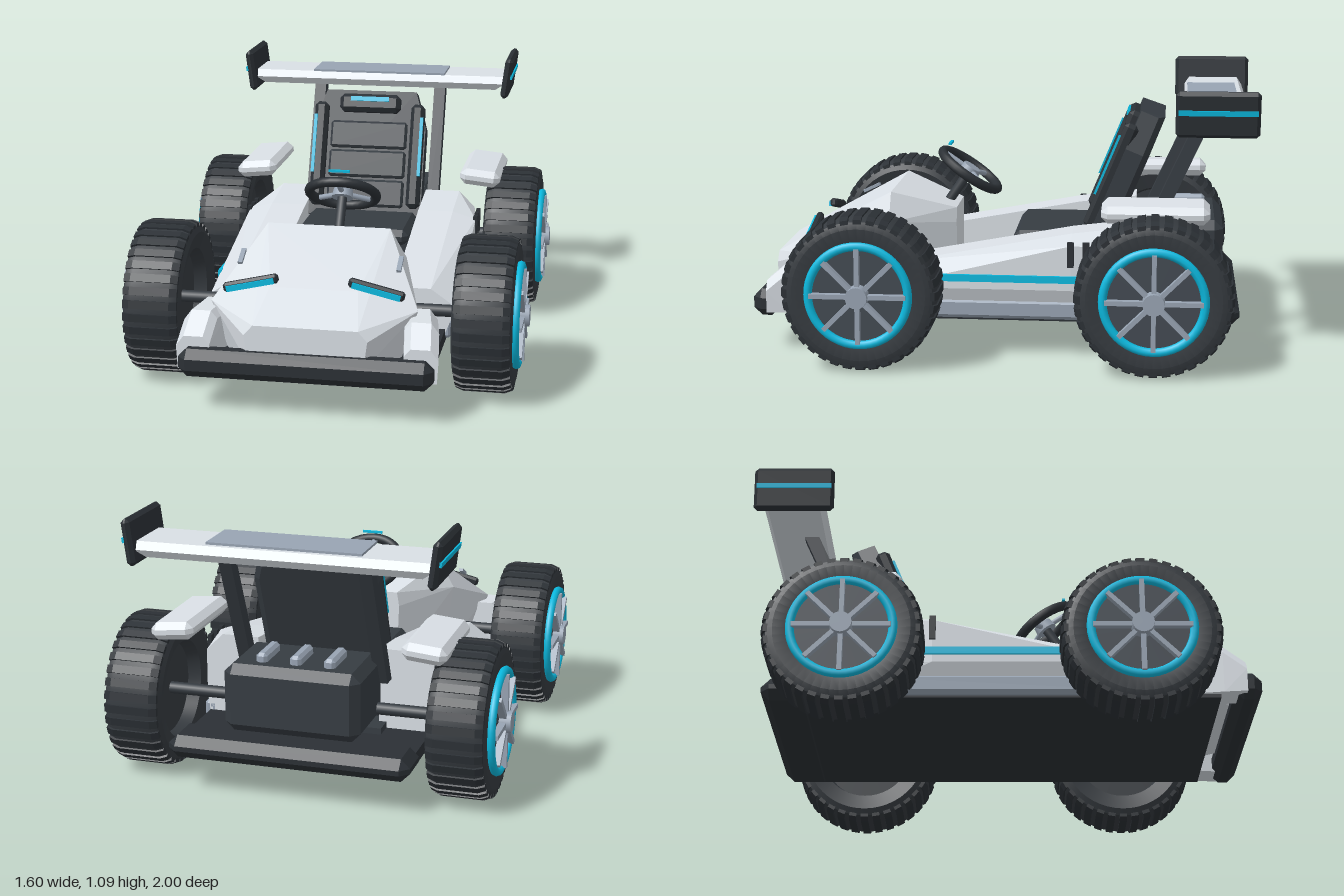
import * as THREE from 'three';
import { toCreasedNormals } from 'three/addons/utils/BufferGeometryUtils.js';
import { ConvexGeometry } from 'three/addons/geometries/ConvexGeometry.js';

const paint = (name, color) => {
  const m = new THREE.MeshStandardMaterial({ color });
  m.name = name;
  return m;
};

export function createModel() {
  const root = new THREE.Group();
  root.name = 'openKart';
  const light = paint('lightGrey', 0xd9dfe5);
  const dark = paint('charcoal', 0x363c42);
  const rubber = paint('rubber', 0x353a3f);
  const rimGrey = paint('rimGrey', 0x434a52);
  const steel = paint('steel', 0x98a4b3);
  const cyan = paint('cyan', 0x0abae0);
  const black = paint('nearBlack', 0x2b3035);

  const add = (name, geo, mat, pos = [0, 0, 0], rot = [0, 0, 0], parent = root) => {
    const m = new THREE.Mesh(geo, mat);
    m.name = name;
    m.position.set(...pos);
    m.rotation.set(...rot);
    parent.add(m);
    return m;
  };
  const hull = (pts) => new ConvexGeometry(pts.map((p) => new THREE.Vector3(...p)));
  const box = (w, h, d) => new THREE.BoxGeometry(w, h, d);
  // Box with every edge and corner cut by c
  const cut = (w, h, d, c = 0.02) => {
    const pts = [];
    for (const x of [-1, 1]) for (const y of [-1, 1]) for (const z of [-1, 1]) {
      const [a, b, e] = [w / 2, h / 2, d / 2];
      pts.push([x * a, y * (b - c), z * (e - c)], [x * (a - c), y * b, z * (e - c)], [x * (a - c), y * (b - c), z * e]);
    }
    return hull(pts);
  };
  // Round bar between two points
  const bar = (name, a, b, r, mat, parent = root) => {
    const p = new THREE.Vector3(...a), q = new THREE.Vector3(...b);
    const m = add(name, new THREE.CylinderGeometry(r, r, p.distanceTo(q), 10), mat, [0, 0, 0], [0, 0, 0], parent);
    m.position.copy(p).add(q).multiplyScalar(0.5);
    m.quaternion.setFromUnitVectors(new THREE.Vector3(0, 1, 0), q.sub(p).normalize());
  };

  // Floor, bumpers and cockpit base
  add('floorPan', box(0.92, 0.05, 1.64), black, [0, 0.17, 0.02]);
  add('cockpitFloor', box(0.56, 0.03, 1.2), dark, [0, 0.205, 0]);
  add('frontBumper', cut(0.97, 0.11, 0.105, 0.033), black, [0, 0.195, 0.948]);
  add('rearBumper', cut(0.96, 0.09, 0.2, 0.035), black, [0, 0.185, -0.845]);

  // Nose: cross-sections of z, then top, middle and bottom half-width and height
  const noseSections = [
    [0.215, 0.12, 0.53, 0.13, 0.47, 0.12],
    [0.47, 0.245, 0.615, 0.31, 0.5, 0.27],
    [0.78, 0.17, 0.45, 0.4, 0.385, 0.34],
    [0.95, 0.2, 0.35, 0.235, 0.31, 0.22],
  ];
  const nosePoints = [];
  for (const [z, tw, ty, mw, my, bw] of noseSections)
    for (const s of [-1, 1]) nosePoints.push([s * tw, ty, z], [s * mw, my, z], [s * bw, 0.2, z]);
  add('nose', hull(nosePoints), light);

  for (const s of [1, -1]) {
    // Side pods
    const pod = [];
    for (const [z, ridge, edge, ox] of [[0.42, 0.36, 0.29, 0.5], [-0.28, 0.49, 0.46, 0.5], [-0.52, 0.52, 0.45, 0.47]])
      pod.push([s * 0.25, ridge, z], [s * 0.4, ridge, z], [s * ox, edge, z], [s * ox, 0.28, z], [s * 0.46, 0.18, z], [s * 0.25, 0.18, z]);
    add('sidePod', hull(pod), light);
    add('sideSill', cut(0.06, 0.08, 0.94, 0.015), steel, [s * 0.457, 0.195, -0.05]);
    add('podStripe', box(0.014, 0.028, 0.66), cyan, [s * 0.503, 0.325, -0.07]);
    for (const z of [-0.28, -0.34, -0.4])
      add('podVent', box(0.016, 0.1, 0.026), black, [s * 0.499, 0.425, z]);

    // Nose corners, lamps and hood slots
    const corner = [];
    for (const [z, top, cx] of [[0.7, 0.37, 0.4], [0.85, 0.365, 0.425], [0.94, 0.29, 0.435]])
      for (const [dx, y] of [[-0.06, 0.16], [0.06, 0.16], [0.065, top - 0.04], [0.035, top], [-0.04, top], [-0.065, top - 0.03]])
        corner.push([s * (cx + dx), y, z]);
    add('noseCorner', hull(corner), light);
    add('lampBezel', cut(0.22, 0.036, 0.03, 0.009), black, [s * 0.243, 0.464, 0.785], [0, 0, -s * 0.23]);
    add('lampStrip', box(0.19, 0.022, 0.009), cyan, [s * 0.243, 0.46, 0.803], [0, 0, -s * 0.23]);
    add('hoodSlot', box(0.018, 0.012, 0.08), steel, [s * 0.31, 0.525, 0.645], [0.45, 0, 0]);

    // Rear fenders, wing struts and end plates
    add('rearFender', cut(0.175, 0.07, 0.42, 0.025), light, [s * 0.5, 0.608, -0.61], [0, 0, -s * 0.1]);
    const strut = [];
    for (const x of [0.25, 0.3]) strut.push([s * x, 0.95, -0.77], [s * x, 0.95, -0.83], [s * x, 0.4, -0.52], [s * x, 0.4, -0.58]);
    add('wingStrut', hull(strut), dark);
    const plate = new THREE.Group();
    plate.name = 'wingEndPlate';
    plate.position.set(s * 0.584, 1.0, -0.84);
    plate.rotation.z = -s * 0.13;
    root.add(plate);
    add('endPlate', cut(0.035, 0.18, 0.32, 0.014), black, [0, 0, 0], [0, 0, 0], plate);
    add('endPlateStripe', box(0.009, 0.02, 0.3), cyan, [s * 0.019, 0.01, 0], [0, 0, 0], plate);
  }

  // Rear wing
  const wing = [];
  for (const s of [-1, 1])
    wing.push([s * 0.57, 1, -0.74], [s * 0.57, 1, -0.95], [s * 0.57, 0.97, -0.72], [s * 0.57, 0.97, -0.97],
      [s * 0.53, 0.94, -0.74], [s * 0.53, 0.94, -0.95]);
  add('rearWing', hull(wing), light);
  add('wingPanel', box(0.6, 0.009, 0.2), steel, [0, 1.005, -0.83]);

  // Engine housing with cooling fins
  add('engineHousing', cut(0.54, 0.27, 0.34, 0.035), dark, [0, 0.385, -0.71]);
  for (const x of [-0.135, 0, 0.135]) add('engineFin', cut(0.045, 0.05, 0.17, 0.012), steel, [x, 0.53, -0.725]);

  // Seat
  add('seatBase', box(0.46, 0.2, 0.42), dark, [0, 0.3, -0.26]);
  add('seatCushion', cut(0.48, 0.07, 0.42, 0.025), dark, [0, 0.425, -0.24]);
  const back = new THREE.Group();
  back.name = 'seatBack';
  back.position.set(0, 0.43, -0.35);
  back.rotation.x = -0.39;
  root.add(back);
  const shell = [];
  for (const s of [-1, 1]) for (const [w, y] of [[0.25, 0], [0.25, 0.4], [0.2, 0.56]])
    shell.push([s * w, y, 0.02], [s * w, y, -0.055], [s * (w - 0.03), y + 0.01, -0.08]);
  add('seatShell', hull(shell), dark, [0, 0, 0], [0, 0, 0], back);
  for (const y of [0.1, 0.23, 0.36]) add('seatPad', cut(0.34, 0.12, 0.03, 0.01), dark, [0, y, 0.025], [0, 0, 0], back);
  for (const s of [-1, 1]) {
    add('seatBolster', cut(0.06, 0.46, 0.06, 0.016), black, [s * 0.215, 0.27, 0.03], [0, 0, 0], back);
    add('bolsterStripe', box(0.014, 0.26, 0.009), cyan, [s * 0.236, 0.31, 0.062], [0, 0, 0], back);
  }
  add('headrest', cut(0.27, 0.08, 0.06, 0.018), black, [0, 0.5, 0.03], [0, 0, 0], back);
  add('headrestStripe', box(0.17, 0.02, 0.009), cyan, [0, 0.515, 0.061], [0, 0, 0], back);

  // Steering wheel, its local y axis pointing at the driver
  const steer = new THREE.Group();
  steer.name = 'steeringWheel';
  steer.position.set(0, 0.668, 0.172);
  steer.rotation.x = -0.6;
  root.add(steer);
  add('steeringRim', new THREE.TorusGeometry(0.138, 0.02, 10, 32), black, [0, 0, 0], [Math.PI / 2, 0, 0], steer);
  add('steeringHub', new THREE.CylinderGeometry(0.04, 0.045, 0.035, 12), steel, [0, 0, 0], [0, 0, 0], steer);
  for (const a of [0.52, 2.62, 4.71])
    bar('steeringSpoke', [0, 0, 0], [0.13 * Math.cos(a), 0, -0.13 * Math.sin(a)], 0.011, steel, steer);
  bar('steeringColumn', [0, 0, 0], [0, -0.24, 0], 0.02, dark, steer);
  add('displayStrip', box(0.085, 0.009, 0.012), cyan, [0, 0.782, 0.252]);

  // Axles and wheels
  const tyreProfile = [[0.001, -0.05], [0.18, -0.05], [0.195, -0.1], [0.26, -0.117], [0.287, -0.105], [0.3, -0.075],
    [0.3, 0.075], [0.287, 0.105], [0.26, 0.115], [0.205, 0.107], [0.195, 0.09], [0.001, 0.09]];
  const tyre = toCreasedNormals(new THREE.LatheGeometry(tyreProfile.map((p) => new THREE.Vector2(...p)), 48), 0.5);
  const ring = new THREE.TorusGeometry(0.194, 0.017, 8, 48);
  const tread = hull([-1, 1].flatMap((t) => [[-0.004, -0.108], [0.007, -0.08], [0.007, 0.08], [-0.004, 0.108], [-0.03, -0.108], [-0.03, 0.108]]
    .map(([r, y]) => [r, y, t * 0.016])));
  for (const z of [0.52, -0.61]) {
    bar('axle', [-0.6, 0.307, z], [0.6, 0.307, z], 0.024, dark);
    for (const s of [1, -1]) {
      const wheel = new THREE.Group();
      wheel.name = z > 0 ? 'frontWheel' : 'rearWheel';
      wheel.position.set(s * 0.641, 0.307, z);
      wheel.rotation.z = -s * Math.PI / 2;
      root.add(wheel);
      add('tyre', tyre, rubber, [0, 0, 0], [0, 0, 0], wheel);
      add('rimDisc', new THREE.CylinderGeometry(0.185, 0.185, 0.03, 32), rimGrey, [0, 0.1, 0], [0, 0, 0], wheel);
      add('rimRing', ring, cyan, [0, 0.118, 0], [Math.PI / 2, 0, 0], wheel);
      add('hub', new THREE.CylinderGeometry(0.042, 0.046, 0.06, 16), steel, [0, 0.13, 0], [0, 0, 0], wheel);
      for (let i = 0; i < 8; i++) {
        const a = (i * Math.PI) / 4;
        add('spoke', box(0.15, 0.03, 0.018), steel, [0.112 * Math.cos(a), 0.128, -0.112 * Math.sin(a)], [0, a, 0], wheel);
      }
      for (let i = 0; i < 36; i++) {
        const a = (i * Math.PI) / 18;
        add('treadBlock', tread, black, [0.299 * Math.cos(a), 0, -0.299 * Math.sin(a)], [0, a, 0], wheel);
      }
    }
  }
  return root;
}
